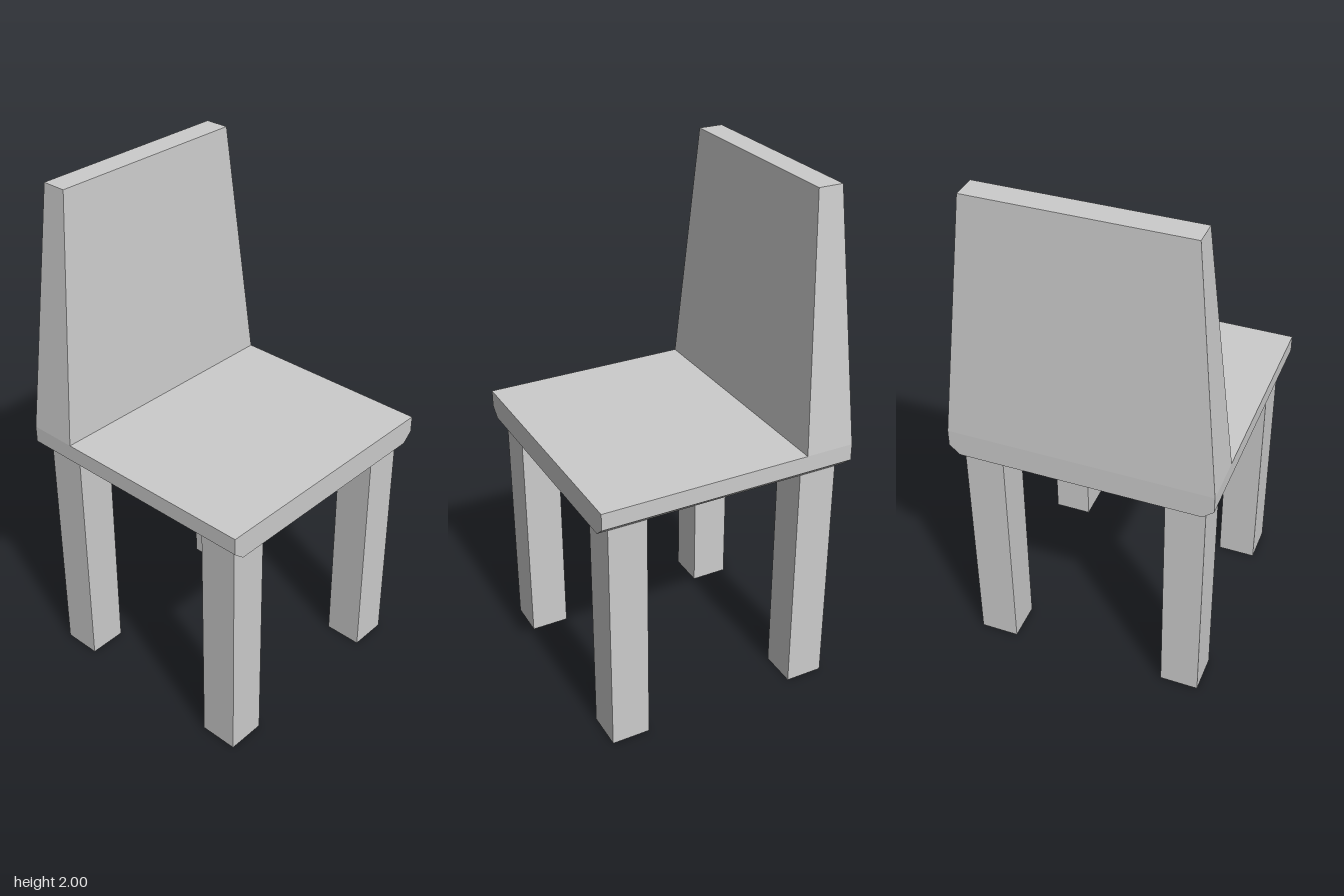
import * as THREE from 'three';

export function createModel() {
  const group = new THREE.Group();
  const material = new THREE.MeshStandardMaterial({ color: 0xcccccc, flatShading: true });

  const add = (name, geometry, x, y, z) => {
    const mesh = new THREE.Mesh(geometry, material);
    mesh.name = name;
    mesh.position.set(x, y, z);
    group.add(mesh);
  };

  // Seat: slab with chamfered lower side edges, extruded front to back
  const profile = new THREE.Shape([
    [-0.46, 0.95], [0.46, 0.95], [0.5, 0.985], [0.5, 1.05], [-0.5, 1.05], [-0.5, 0.985],
  ].map(([x, y]) => new THREE.Vector2(x, y)));
  add('seat', new THREE.ExtrudeGeometry(profile, { depth: 1, bevelEnabled: false }), 0, 0, -0.5);

  // Backrest: box tapered towards the top
  const back = new THREE.BoxGeometry(1, 0.95, 0.19);
  const pos = back.attributes.position;
  for (let i = 0; i < pos.count; i++) {
    if (pos.getY(i) > 0) {
      pos.setX(i, pos.getX(i) * 0.8);
      pos.setZ(i, pos.getZ(i) * 0.5);
    }
  }
  back.computeVertexNormals();
  add('backrest', back, 0, 1.525, -0.405);

  // Four square legs
  for (const [side, x] of [['Left', 0.385], ['Right', -0.385]]) {
    for (const [end, z] of [['front', 0.385], ['back', -0.385]]) {
      add(`${end}${side}Leg`, new THREE.BoxGeometry(0.15, 0.95, 0.15), x, 0.475, z);
    }
  }

  return group;
}
